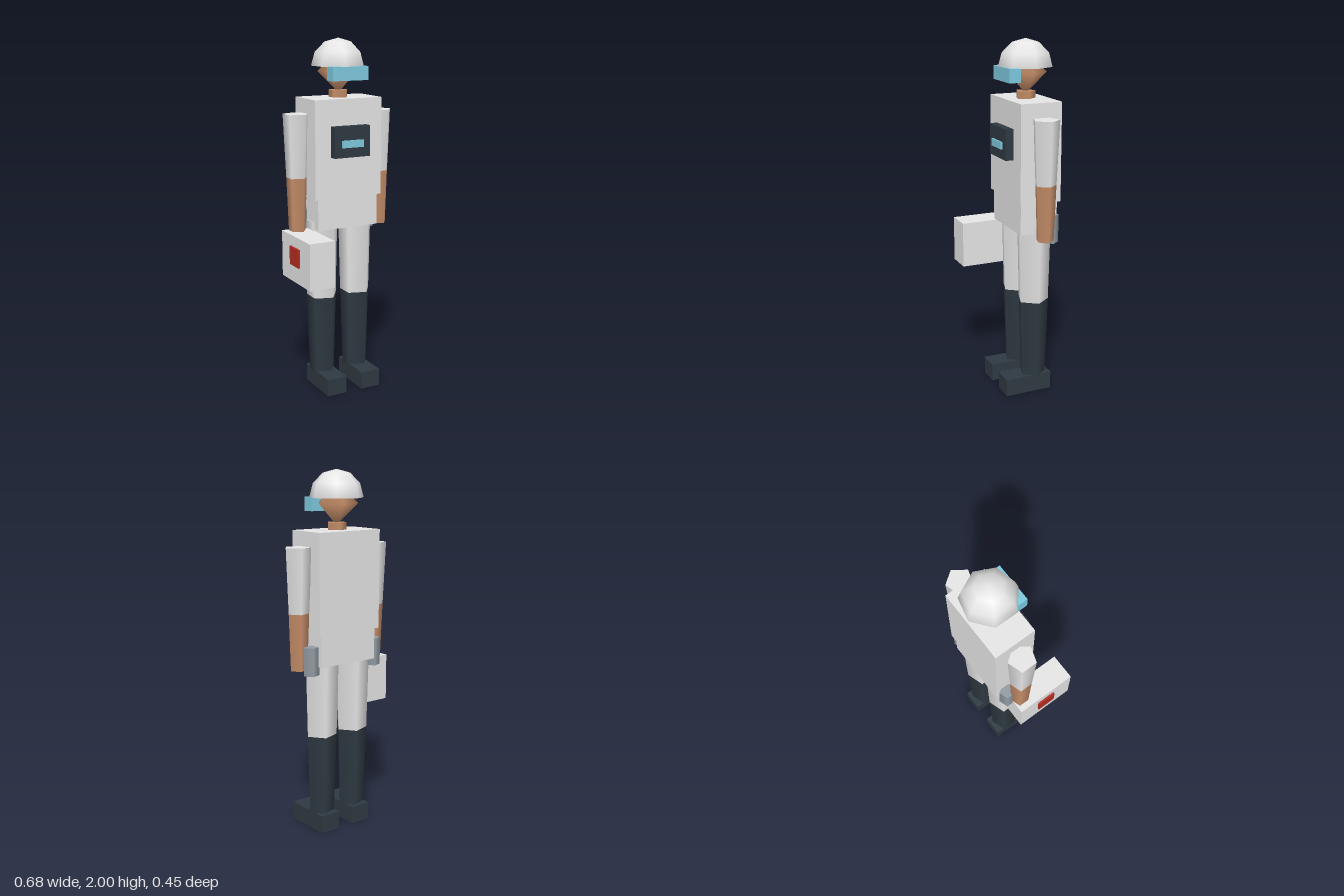
import * as THREE from 'three';

const mat = (name, color, side = THREE.FrontSide) => {
  const m = new THREE.MeshStandardMaterial({ color, side });
  m.name = name;
  return m;
};

export function createModel() {
  const root = new THREE.Group();
  root.name = 'helmetedFigure';

  const white = mat('suitWhite', 0xe6e6e6, THREE.DoubleSide);
  const skin = mat('skin', 0xc68e69);
  const dark = mat('darkBoots', 0x2f3a42);
  const blue = mat('visorBlue', 0x7ecadf);
  const red = mat('badgeRed', 0xb52d23);
  const grey = mat('canisterGrey', 0x939da5);

  // Body axis
  const CX = 0.0045, CZ = -0.079;

  const add = (name, geometry, material, x, y, z) => {
    const mesh = new THREE.Mesh(geometry, material);
    mesh.name = name;
    mesh.position.set(x, y, z);
    root.add(mesh);
    return mesh;
  };
  // Box from its low and high corners
  const box = (name, material, [x0, y0, z0], [x1, y1, z1]) =>
    add(name, new THREE.BoxGeometry(x1 - x0, y1 - y0, z1 - z0), material,
      (x0 + x1) / 2, (y0 + y1) / 2, (z0 + z1) / 2);
  // Five-sided tapered limb with one corner towards +x
  const limb = (name, material, x, z, y0, y1, rBottom, rTop) => {
    const g = new THREE.CylinderGeometry(rTop, rBottom, y1 - y0, 5);
    g.rotateY(Math.PI / 2);
    return add(name, g, material, x, (y0 + y1) / 2, z);
  };

  // Torso and hips
  box('torso', white, [-0.201, 1.135, -0.199], [0.21, 1.68, 0.04]);
  box('hips', white, [-0.181, 0.96, -0.187], [0.19, 1.137, 0.03]);

  // Chest unit
  box('chestPanel', dark, [-0.105, 1.365, 0.04], [0.113, 1.535, 0.085]);
  box('chestDisplay', blue, [-0.061, 1.42, 0.085], [0.07, 1.46, 0.095]);

  // Neck and head
  limb('neck', skin, CX, CZ, 1.64, 1.72, 0.055, 0.055);
  const headGeo = new THREE.SphereGeometry(0.117, 5, 2);
  headGeo.rotateY(Math.PI);
  add('head', headGeo, skin, CX, 1.82, CZ);

  // Helmet dome and visor
  const domeGeo = new THREE.SphereGeometry(0.15, 7, 3, 0, Math.PI * 2, 0, Math.PI / 2);
  domeGeo.rotateY(Math.PI);
  add('helmet', domeGeo, white, CX, 1.85, CZ);
  box('visor', blue, [-0.105, 1.777, -0.003], [0.113, 1.852, 0.062]);

  // Mirrored arms, legs, boots and belt canisters
  for (const [side, s] of [['left', 1], ['right', -1]]) {
    const armX = CX + s * 0.26, legX = CX + s * 0.109;
    limb(side + 'Sleeve', white, armX, CZ, 1.25, 1.6, 0.06, 0.075);
    limb(side + 'Forearm', skin, armX, CZ, 0.94, 1.25, 0.049, 0.06);
    limb(side + 'Thigh', white, legX, CZ, 0.55, 1.0, 0.089, 0.1);
    limb(side + 'BootShaft', dark, legX, CZ, 0.09, 0.55, 0.075, 0.089);
    box(side + 'Foot', dark, [legX - 0.0595, 0, -0.17], [legX + 0.0595, 0.1, 0.105]);
    limb(side + 'Canister', grey, CX + s * 0.216, -0.133, 0.915, 1.07, 0.045, 0.045);
  }

  // Carried case with side badge
  box('case', white, [-0.331, 0.69, -0.123], [-0.181, 0.95, 0.225]);
  box('caseBadge', red, [-0.342, 0.787, -0.003], [-0.331, 0.89, 0.105]);

  return root;
}
